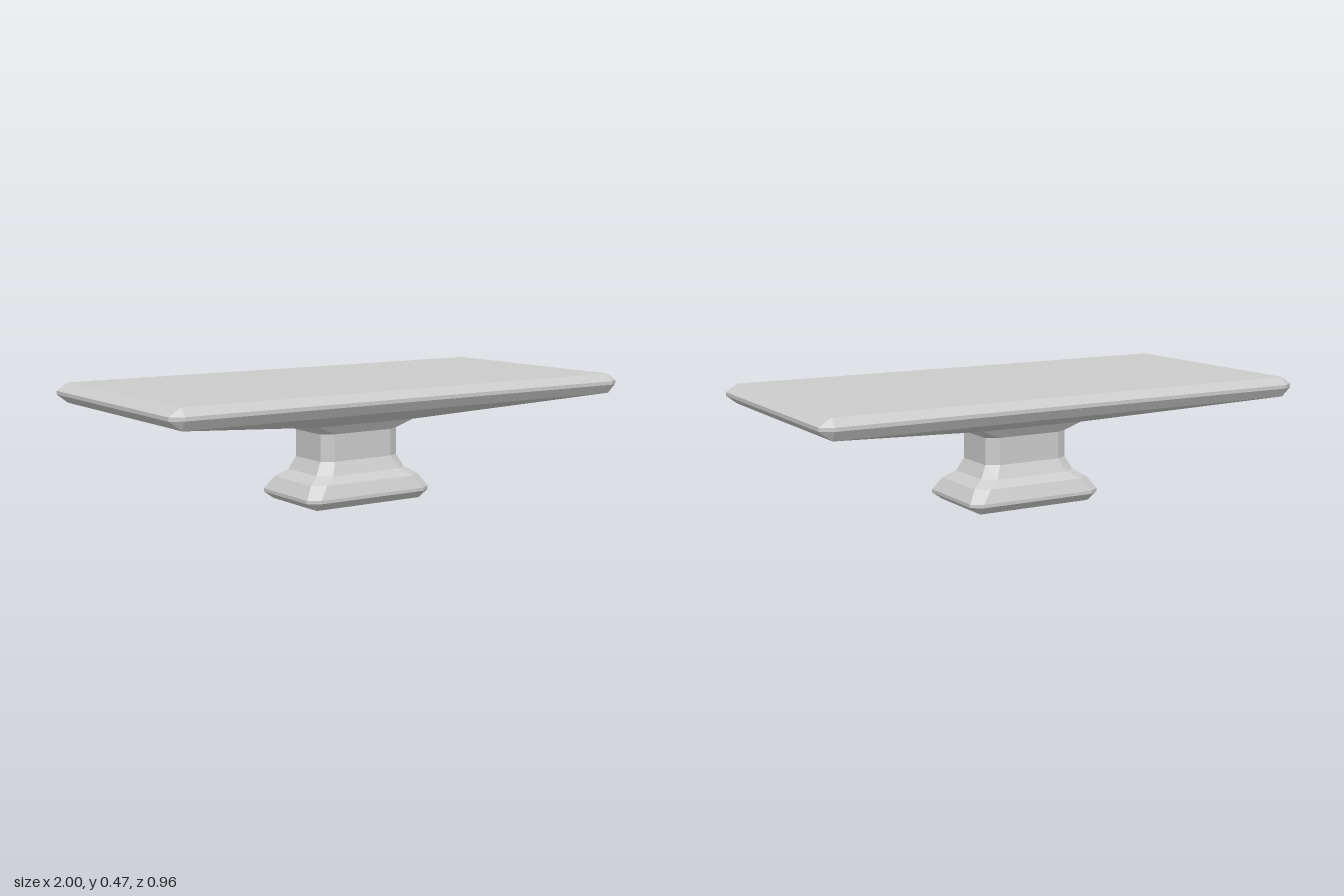
import * as THREE from 'three';

// Rectangular ring with chamfered corners: half sizes x, z; inner corner positions cx, cz
function ring([y, x, z, cx = x, cz = z]) {
  return [
    [x, -cz], [x, cz], [cx, z], [-cx, z],
    [-x, cz], [-x, -cz], [-cx, -z], [cx, -z],
  ].map(([px, pz]) => new THREE.Vector3(px, y, pz));
}

// Skin a stack of rings, listed from bottom to top, with optional end caps
function loft(name, sections, capBottom, capTop) {
  const rings = sections.map(ring);
  const points = [];
  const tri = (a, b, c) => {
    if (new THREE.Triangle(a, b, c).getArea() > 1e-9) points.push(a, b, c);
  };
  for (let i = 0; i < rings.length - 1; i++) {
    const lo = rings[i], hi = rings[i + 1];
    for (let j = 0; j < 8; j++) {
      const k = (j + 1) % 8;
      tri(lo[j], hi[j], hi[k]);
      tri(lo[j], hi[k], lo[k]);
    }
  }
  const first = rings[0], last = rings[rings.length - 1];
  for (let j = 1; j < 7; j++) {
    if (capBottom) tri(first[0], first[j], first[j + 1]);
    if (capTop) tri(last[0], last[j + 1], last[j]);
  }
  const geometry = new THREE.BufferGeometry().setFromPoints(points);
  geometry.computeVertexNormals();
  const material = new THREE.MeshStandardMaterial({ color: 0xcccccc, flatShading: true });
  const mesh = new THREE.Mesh(geometry, material);
  mesh.name = name;
  return mesh;
}

export function createModel() {
  const model = new THREE.Group();
  model.name = 'pedestalTable';

  // Foot with bevelled edges, shoulder, straight column and flared neck
  model.add(loft('pedestal', [
    [0, 0.24, 0.155],
    [0.03, 0.283, 0.185, 0.24, 0.155],
    [0.043, 0.283, 0.185, 0.24, 0.155],
    [0.092, 0.25, 0.165, 0.2, 0.13],
    [0.12, 0.205, 0.137, 0.155, 0.1],
    [0.17, 0.178, 0.113, 0.13, 0.085],
    [0.275, 0.178, 0.113, 0.13, 0.085],
    [0.31, 0.22, 0.135],
  ], true, false));

  // Slab with sloping underside and bevelled rim
  model.add(loft('tabletop', [
    [0.31, 0.22, 0.135],
    [0.395, 0.955, 0.46],
    [0.429, 1, 0.481, 0.955, 0.455],
    [0.443, 1, 0.481, 0.955, 0.455],
    [0.472, 0.955, 0.455],
  ], false, true));

  return model;
}
